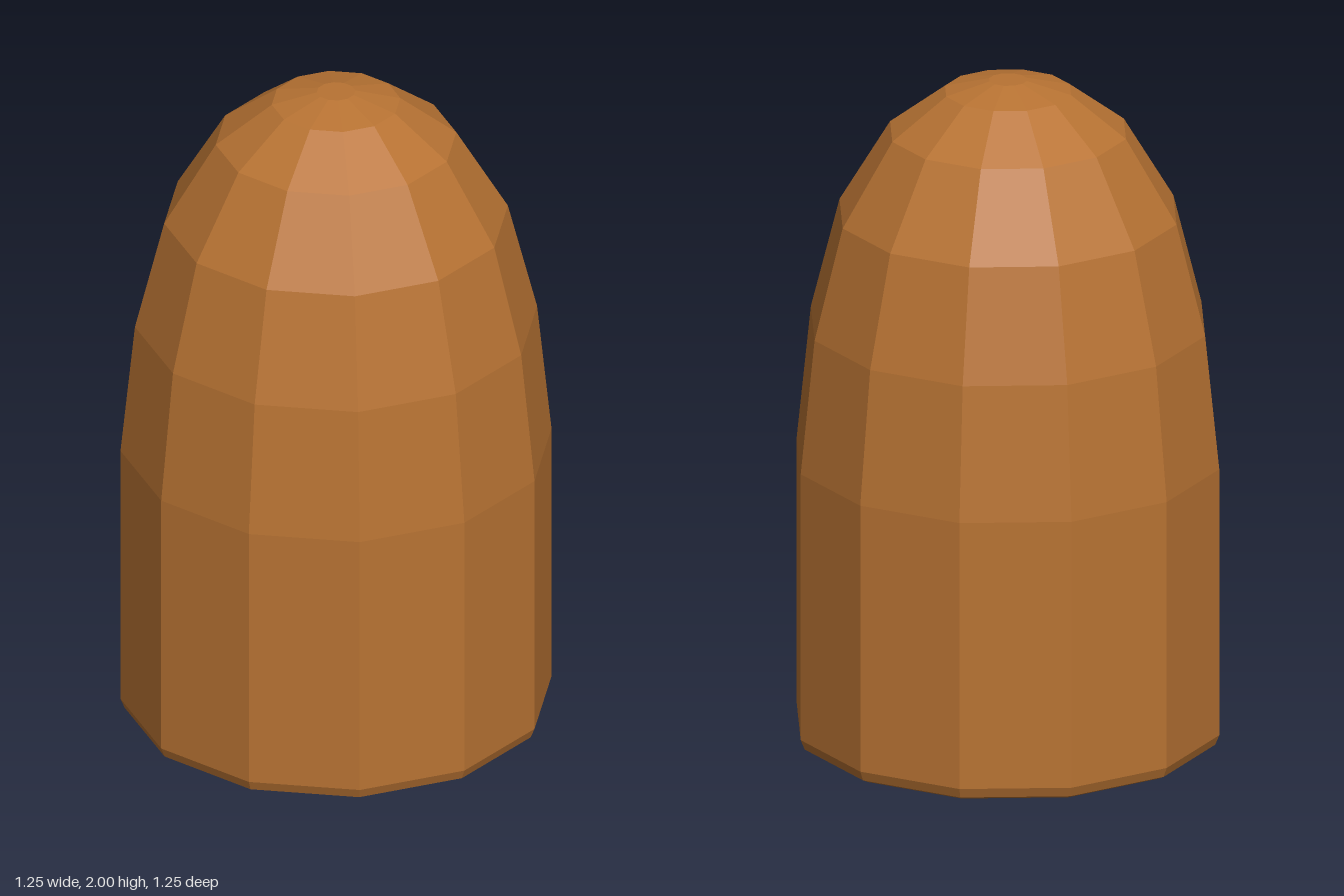
import * as THREE from 'three';

export function createModel() {
  const group = new THREE.Group();
  group.name = 'bullet';

  // Profile (radius, height): closed base, small bevel, straight wall, rounded nose with a flat tip
  const profile = [
    [0, 0], [0.595, 0], [0.615, 0.01], [0.627, 0.04],
    [0.627, 0.855], [0.585, 1.26], [0.5, 1.595], [0.35, 1.845],
    [0.187, 1.967], [0.056, 2], [0, 2],
  ].map(([r, y]) => new THREE.Vector2(r, y));

  const material = new THREE.MeshStandardMaterial({ color: 0xb87333, flatShading: true });

  // Twelve-sided faceted body
  const body = new THREE.Mesh(new THREE.LatheGeometry(profile, 12), material);
  body.name = 'bulletBody';
  group.add(body);

  return group;
}
